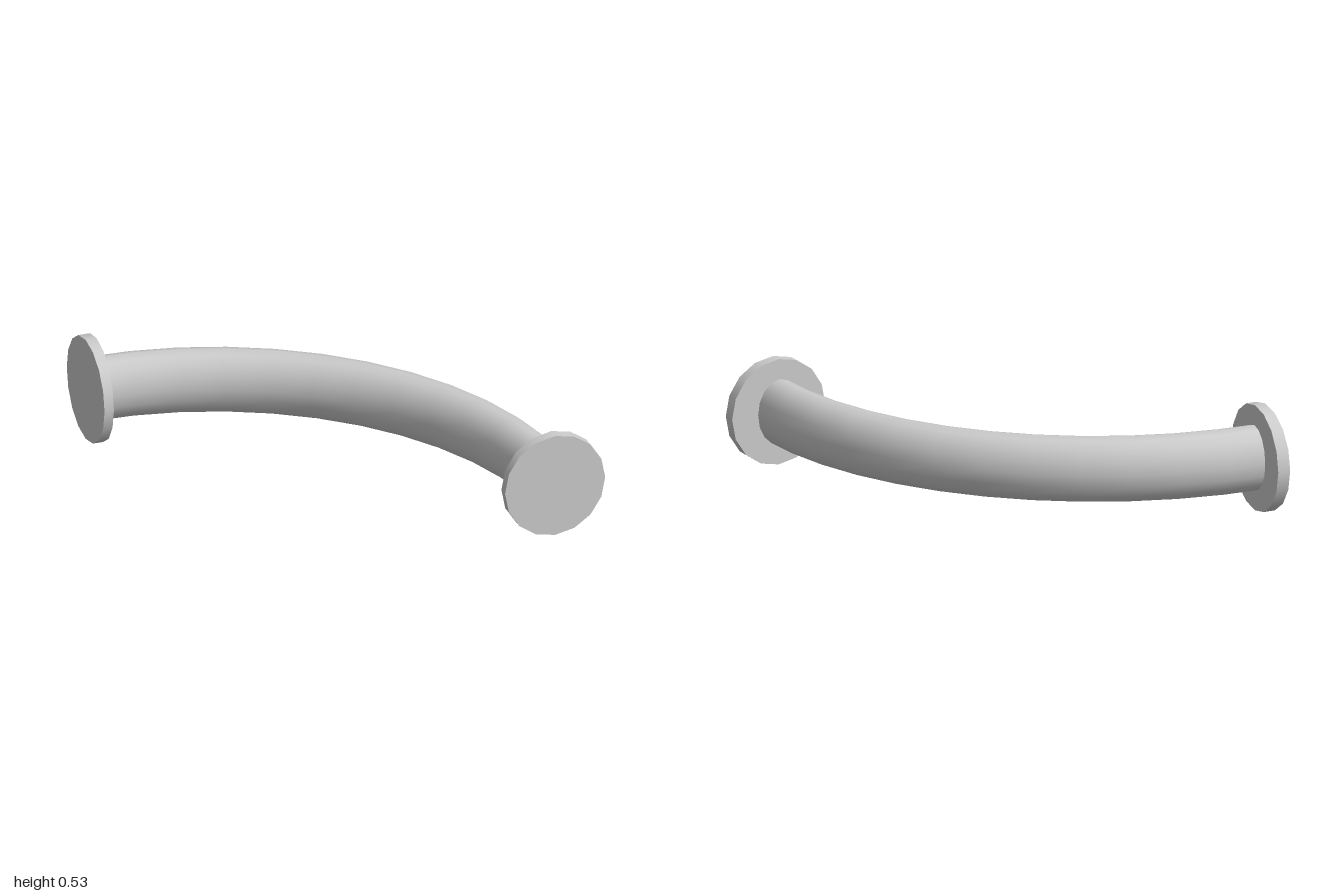
import * as THREE from 'three';
import { mergeGeometries } from 'three/addons/utils/BufferGeometryUtils.js';

const SIDES = 16;
const BEND_RADIUS = 1.743;
const FLANGE_ARC = 0.032; // angle of the bend taken up by each flange
const CENTRE_Y = 0.265;

// Lay a bend out flat around its centre at the back-right of the arc
function place(geometry, heightScale) {
  return geometry
    .scale(1, 1, heightScale)
    .rotateX(-Math.PI / 2)
    .translate(-1, CENTRE_Y, 1);
}

// Short slice of the bend, closed by a flat disc on each end
function flangeGeometry(startAngle) {
  const halfWidth = 0.256, halfHeight = 0.265;
  const disc = (tilt, angle) => new THREE.CircleGeometry(halfWidth, SIDES)
    .rotateX(tilt).translate(BEND_RADIUS, 0, 0).rotateZ(angle);
  const rim = new THREE.TorusGeometry(BEND_RADIUS, halfWidth, SIDES, 1, FLANGE_ARC)
    .rotateZ(startAngle);
  const merged = mergeGeometries([
    rim,
    disc(Math.PI / 2, startAngle),
    disc(-Math.PI / 2, startAngle + FLANGE_ARC),
  ]);
  return place(merged, halfHeight / halfWidth);
}

export function createModel() {
  const group = new THREE.Group();
  group.name = 'pipeElbow';
  const material = new THREE.MeshStandardMaterial({ color: 0xcccccc });
  const add = (name, geometry) => {
    const mesh = new THREE.Mesh(geometry, material);
    mesh.name = name;
    group.add(mesh);
  };

  // Quarter-bend pipe, oval in section (taller than wide)
  const pipeHalfWidth = 0.119, pipeHalfHeight = 0.163;
  add('bentPipe', place(
    new THREE.TorusGeometry(BEND_RADIUS - 0.003, pipeHalfWidth, SIDES, 12, Math.PI / 2),
    pipeHalfHeight / pipeHalfWidth,
  ));

  // End flanges
  add('frontFlange', flangeGeometry(0));
  add('backFlange', flangeGeometry(Math.PI / 2 - FLANGE_ARC));

  return group;
}
